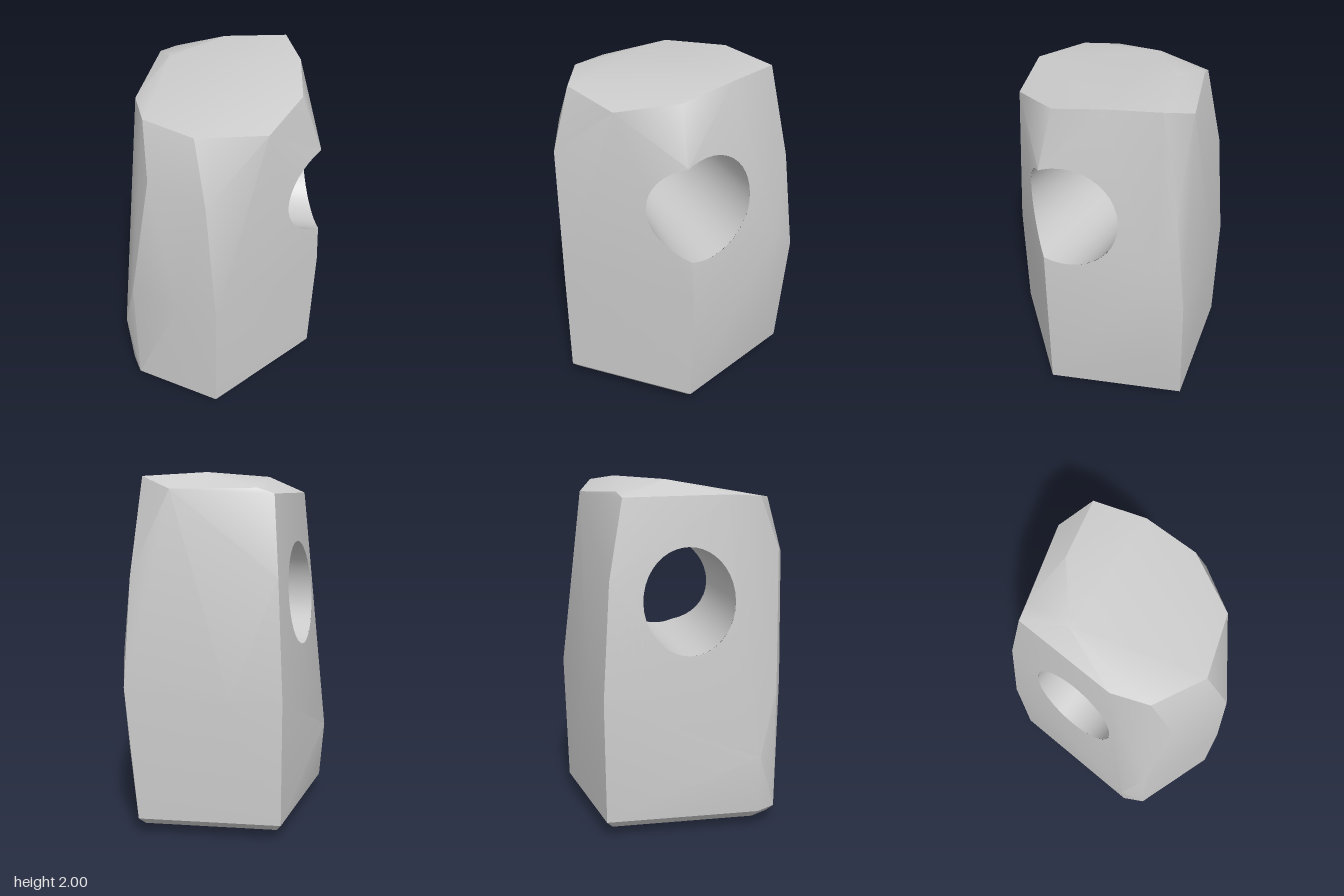
import * as THREE from 'three';
import { ConvexGeometry } from 'three/addons/geometries/ConvexGeometry.js';
import { toCreasedNormals } from 'three/addons/utils/BufferGeometryUtils.js';

const V = (x, y, z) => new THREE.Vector3(x, y, z);

// Corner columns of the stone, each listed from top to bottom
const columns = [
  [V(-0.26, 1.88, 0.475), V(-0.245, 1.55, 0.61), V(-0.2, 0.8, 0.642), V(-0.2, 0.1, 0.635)],
  [V(0.38, 1.9, 0.28), V(0.48, 1.6, 0.345), V(0.53, 0.8, 0.335), V(0.52, 0.1, 0.335)],
  [V(0.5, 1.98, -0.285), V(0.575, 1.45, -0.38), V(0.62, 0.85, -0.445), V(0.555, 0.1, -0.46)],
  [V(-0.19, 1.885, -0.485), V(-0.2, 1.45, -0.58), V(-0.22, 0.8, -0.64), V(-0.22, 0.1, -0.635)],
  [V(-0.45, 1.9, 0.04), V(-0.625, 0.44, 0.14), V(-0.6, 0.1, 0.15)],
  [V(-0.46, 1.89, 0.245), V(-0.48, 1.6, 0.37), V(-0.59, 0.8, 0.28), V(-0.59, 0.1, 0.28)],
];
// Extra points on the crown and bulges of the sides
const extras = [
  V(0.115, 1.845, 0.505), V(0.475, 1.965, 0), V(0.36, 1.91, -0.435), V(-0.1, 1.915, -0.467),
  V(0.15, 2, -0.33), V(-0.2, 1.98, -0.22),
  V(0.62, 1.02, -0.28), V(0.6, 0.45, -0.3), V(0.06, 0.8, -0.59), V(-0.38, 0.8, 0.5),
  V(0, 0, 0.09),
];

// A polygon is a list of { p, n }; split it by a plane into inner and outer parts
function split(poly, plane) {
  const inner = [], outer = [];
  poly.forEach((a, i) => {
    const b = poly[(i + 1) % poly.length];
    const da = plane.distanceToPoint(a.p), db = plane.distanceToPoint(b.p);
    (da <= 0 ? inner : outer).push(a);
    if ((da <= 0) !== (db <= 0)) {
      const t = da / (da - db);
      const cut = { p: a.p.clone().lerp(b.p, t), n: a.n.clone().lerp(b.n, t).normalize() };
      inner.push(cut);
      outer.push(cut);
    }
  });
  return { inner, outer };
}

// Fan-triangulate polygons into one geometry
function toGeometry(polys) {
  const pos = [], nor = [];
  for (const q of polys) {
    for (let i = 1; i + 1 < q.length; i++) {
      for (const v of [q[0], q[i], q[i + 1]]) {
        pos.push(...v.p.toArray());
        nor.push(...v.n.toArray());
      }
    }
  }
  const g = new THREE.BufferGeometry();
  g.setAttribute('position', new THREE.Float32BufferAttribute(pos, 3));
  g.setAttribute('normal', new THREE.Float32BufferAttribute(nor, 3));
  return g;
}

// Oval tunnel: point at angle a, t = 0 at the corner opening, t = 1 at the rear opening
function tunnelPoint(a, t) {
  const side = (x1, z1, x2, z2, h, y) => V(
    (x1 + x2) / 2 + Math.cos(a) * (x1 - x2) / 2, y + Math.sin(a) * h,
    (z1 + z2) / 2 + Math.cos(a) * (z1 - z2) / 2);
  const front = side(0.27, 0.44, 0.58, -0.07, 0.295, 1.325);
  const rear = side(-0.485, 0.05, -0.295, -0.425, 0.295, 1.33);
  return front.lerp(rear, t);
}

export function createModel() {
  const group = new THREE.Group();
  group.name = 'piercedStone';
  const material = new THREE.MeshStandardMaterial({ color: 0xcccccc });

  // Convex hull with a narrow chamfer around the foot
  const points = [...columns.flat(), ...extras];
  for (const c of columns) {
    const p = c[c.length - 1];
    points.push(V(p.x * 0.93, 0.058, p.z * 0.93));
  }
  const hull = toCreasedNormals(new ConvexGeometry(points), 0.55);
  const P = hull.attributes.position, N = hull.attributes.normal;
  const triangles = [], hullPlanes = [];
  for (let i = 0; i < P.count; i += 3) {
    const tri = [0, 1, 2].map(k => ({
      p: new THREE.Vector3().fromBufferAttribute(P, i + k),
      n: new THREE.Vector3().fromBufferAttribute(N, i + k),
    }));
    triangles.push(tri);
    hullPlanes.push(new THREE.Plane().setFromCoplanarPoints(tri[0].p, tri[1].p, tri[2].p));
  }

  // Tunnel walls: strips trimmed to the inside of the hull
  const sides = 40, tunnelPlanes = [], walls = [];
  const axisPoint = tunnelPoint(0, 0.5).lerp(tunnelPoint(Math.PI, 0.5), 0.5);
  const inward = (a) => {
    const along = tunnelPoint(a, 1).sub(tunnelPoint(a, 0));
    const around = tunnelPoint(a + 0.01, 0.5).sub(tunnelPoint(a - 0.01, 0.5));
    const n = along.cross(around).normalize();
    return n.dot(axisPoint.clone().sub(tunnelPoint(a, 0.5))) < 0 ? n.negate() : n;
  };
  for (let i = 0; i < sides; i++) {
    const a = i / sides * Math.PI * 2, b = (i + 1) / sides * Math.PI * 2;
    const plane = new THREE.Plane().setFromCoplanarPoints(
      tunnelPoint(a, 0), tunnelPoint(b, 0.5), tunnelPoint(a, 1));
    if (plane.distanceToPoint(axisPoint) > 0) plane.negate();
    tunnelPlanes.push(plane);

    let strip = [[a, -0.6], [b, -0.6], [b, 1.6], [a, 1.6]].map(([u, t]) => ({ p: tunnelPoint(u, t), n: inward(u) }));
    const facing = strip[1].p.clone().sub(strip[0].p).cross(strip[2].p.clone().sub(strip[0].p));
    if (facing.dot(strip[0].n) < 0) strip.reverse();
    for (const h of hullPlanes) strip = split(strip, h).inner;
    walls.push(strip);
  }

  // Outer skin: every hull facet with the tunnel cut away
  const skin = [];
  for (const tri of triangles) {
    let rest = tri;
    const pieces = [];
    for (const plane of tunnelPlanes) {
      const { inner, outer } = split(rest, plane);
      if (outer.length > 2) pieces.push(outer);
      rest = inner;
      if (rest.length < 3) break;
    }
    // facets the tunnel misses stay whole
    if (rest.length < 3) skin.push(tri);
    else skin.push(...pieces);
  }

  const body = new THREE.Mesh(toGeometry(skin), material);
  body.name = 'stoneBody';
  const tunnel = new THREE.Mesh(toGeometry(walls), material);
  tunnel.name = 'tunnelWall';
  group.add(body, tunnel);
  return group;
}
